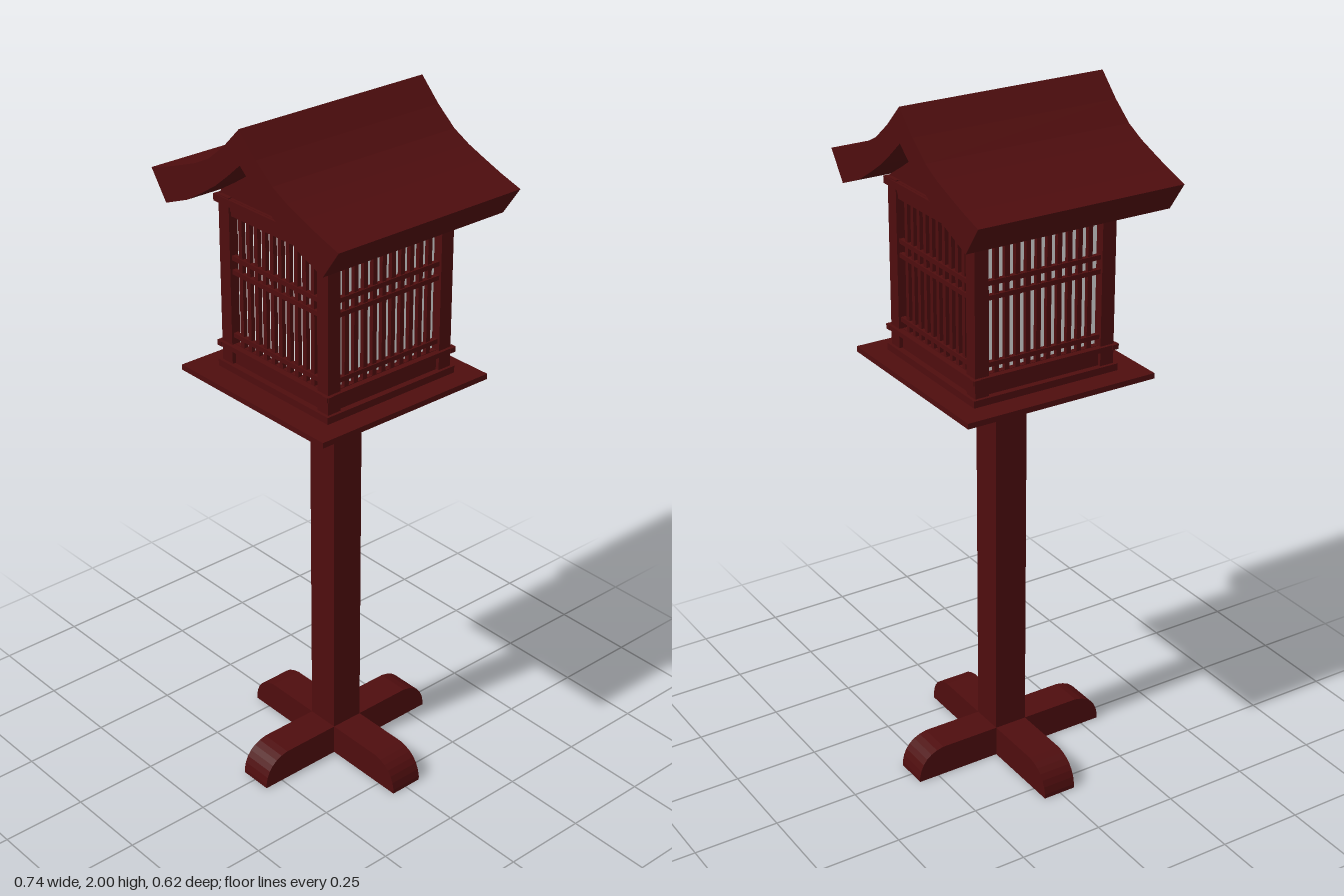
import * as THREE from 'three';

const wood = new THREE.MeshStandardMaterial({ color: 0x4e0d0e });
wood.name = 'dark red wood';
const paper = new THREE.MeshStandardMaterial({ color: 0xdedede });
paper.name = 'white paper';

function add(parent, name, geometry, material = wood) {
  const mesh = new THREE.Mesh(geometry, material);
  mesh.name = name;
  parent.add(mesh);
  return mesh;
}

// Box given by its centre and size
function box(parent, name, x, y, z, w, h, d, material = wood) {
  const mesh = add(parent, name, new THREE.BoxGeometry(w, h, d), material);
  mesh.position.set(x, y, z);
  return mesh;
}

// Extrusion along z, centred on z = 0
function slab(shape, depth, curveSegments = 6) {
  return new THREE.ExtrudeGeometry(shape, { depth, bevelEnabled: false, curveSegments })
    .translate(0, 0, -depth / 2);
}

// Beam profile with two rounded corners, flat edge on y = 0; dir 1 rounds the top, -1 the bottom
function roundedBeam(half, height, radius, dir) {
  const s = new THREE.Shape();
  const y = height * dir;
  s.moveTo(-half, 0);
  s.lineTo(half, 0);
  s.lineTo(half, y - radius * dir);
  s.quadraticCurveTo(half - radius * 0.12, y - radius * 0.12 * dir, half - radius, y);
  s.lineTo(-half + radius, y);
  s.quadraticCurveTo(-half + radius * 0.12, y - radius * 0.12 * dir, -half, y - radius * dir);
  s.closePath();
  return s;
}

// Two identical beams crossing at right angles
function cross(parent, name, shape, width, y) {
  for (const turn of [0, Math.PI / 2]) {
    const beam = add(parent, name, slab(shape, width));
    beam.position.set(0.003, y, -0.002);
    beam.rotation.y = turn;
  }
}

// Closed symmetric shape from the right-hand half of its outline
function mirrored(half) {
  const left = half.filter(p => p[0] > 0).reverse().map(([x, y]) => [-x, y]);
  return new THREE.Shape([...half, ...left].map(([x, y]) => new THREE.Vector2(x, y)));
}

// One lattice wall, facing +z at distance 0.2 from the centre
function latticeWall() {
  const wall = new THREE.Group();
  wall.name = 'latticeWall';
  for (let i = 0; i < 10; i++) {
    box(wall, 'slat', (i - 4.5) * 0.032, 1.51, 0.2, 0.014, 0.42, 0.012);
  }
  for (const y of [1.345, 1.53, 1.57, 1.695]) {
    box(wall, 'latticeRail', 0, y, 0.203, 0.36, 0.013, 0.014);
  }
  box(wall, 'lowerPanel', 0, 1.278, 0.198, 0.38, 0.08, 0.016);
  box(wall, 'topRail', 0, 1.72, 0.2, 0.4, 0.036, 0.025);
  box(wall, 'sillRail', 0, 1.311, 0.217, 0.456, 0.014, 0.018);
  box(wall, 'footRail', 0, 1.25, 0.217, 0.45, 0.022, 0.018);
  return wall;
}

export function createModel() {
  const model = new THREE.Group();
  model.name = 'lanternOnPost';

  // Crossed feet, post and bracket arms
  cross(model, 'foot', roundedBeam(0.31, 0.093, 0.08, 1), 0.1, 0);
  box(model, 'post', 0.003, 0.613, -0.002, 0.1, 1.225, 0.1);
  cross(model, 'bracketArm', roundedBeam(0.205, 0.055, 0.05, -1), 0.068, 1.227);

  // Platform
  box(model, 'platform', 0.002, 1.233, 0.004, 0.585, 0.016, 0.585);

  // Lantern house: posts, paper and four lattice walls
  const house = new THREE.Group();
  house.name = 'lanternHouse';
  house.position.set(0.004, 0, -0.002);
  model.add(house);
  box(house, 'paperScreen', 0, 1.51, 0, 0.378, 0.42, 0.378, paper);
  for (const x of [-1, 1]) {
    for (const z of [-1, 1]) {
      box(house, 'cornerPost', x * 0.196, 1.49, z * 0.196, 0.042, 0.5, 0.042);
    }
  }
  for (let i = 0; i < 4; i++) {
    const wall = latticeWall();
    wall.rotation.y = i * Math.PI / 2;
    house.add(wall);
  }

  // Tie beams and gable boards under the roof
  const gable = mirrored([[0.225, 1.735], [0.22, 1.752], [0.1, 1.83], [0.05, 1.87], [0, 1.912]]);
  for (const side of [-1, 1]) {
    box(house, 'tieBeam', 0, 1.727, side * 0.205, 0.47, 0.02, 0.03);
    add(house, 'gableBoard', slab(gable, 0.02)).position.z = side * 0.195;
  }

  // Roof with concave slopes
  const upper = [[0.37, 1.792], [0.3, 1.814], [0.24, 1.836], [0.18, 1.859],
    [0.125, 1.887], [0.063, 1.937], [0, 2]];
  const lower = [[0, 1.905], [0.05, 1.862], [0.1, 1.822], [0.16, 1.783], [0.22, 1.747], [0.312, 1.71]];
  const flip = list => list.slice().reverse().map(([x, y]) => [-x, y]);
  const outline = [...upper, ...flip(upper).slice(1), ...flip(lower), ...lower.slice(1)];
  const roofShape = new THREE.Shape(outline.map(([x, y]) => new THREE.Vector2(x, y)));
  add(model, 'roof', slab(roofShape, 0.615)).position.z = 0.003;

  return model;
}
